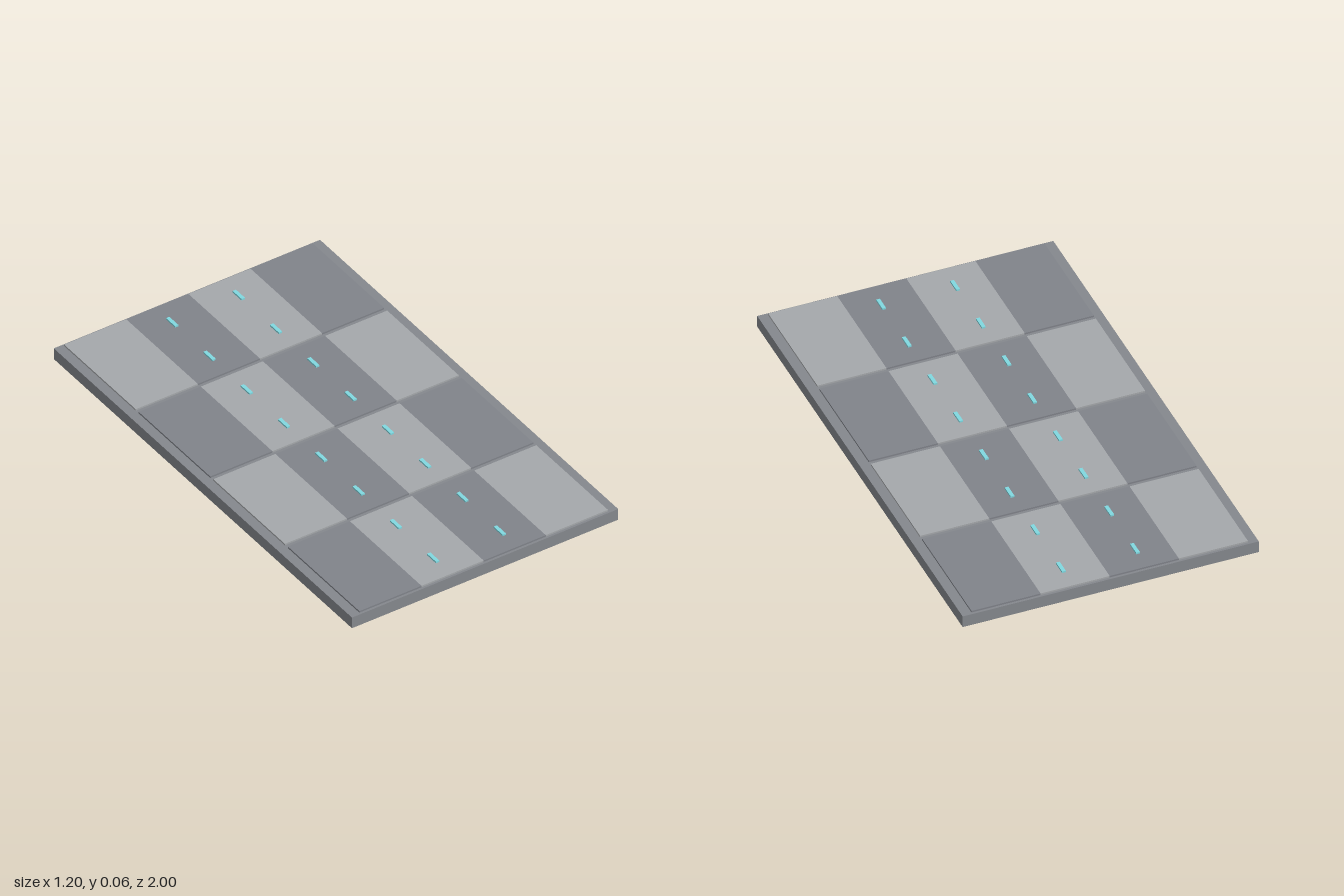
import * as THREE from 'three';

export function createModel() {
  const group = new THREE.Group();
  const mat = (color) => new THREE.MeshStandardMaterial({ color });
  const baseMat = mat(0x85888d);
  const darkMat = mat(0x80838a);
  const lightMat = mat(0xa5a8ab);
  const markerMat = mat(0x80d8e0);

  // Box given by its centre in x and z, and its bottom and top heights
  const addBox = (name, material, w, d, x, z, bottom, top) => {
    const mesh = new THREE.Mesh(new THREE.BoxGeometry(w, top - bottom, d), material);
    mesh.position.set(x, (bottom + top) / 2, z);
    mesh.name = name;
    group.add(mesh);
  };

  // Slab
  addBox('baseSlab', baseMat, 1.2, 2, 0, 0, 0, 0.05);

  // Checkered panels, four columns by four rows with seams between rows
  for (let row = 0; row < 4; row++) {
    for (let col = 0; col < 4; col++) {
      const pale = (row + col) % 2 === 0;
      addBox(pale ? 'palePanel' : 'darkPanel', pale ? lightMat : darkMat,
        0.28, 0.48, -0.42 + col * 0.28, -0.75 + row * 0.5, 0.05, 0.057);
    }
  }

  // Two lines of small marker lights
  for (const x of [-0.15, 0.15]) {
    for (let i = 0; i < 8; i++) {
      addBox('markerLight', markerMat, 0.015, 0.06, x, -0.875 + i * 0.25, 0.055, 0.064);
    }
  }
  return group;
}
